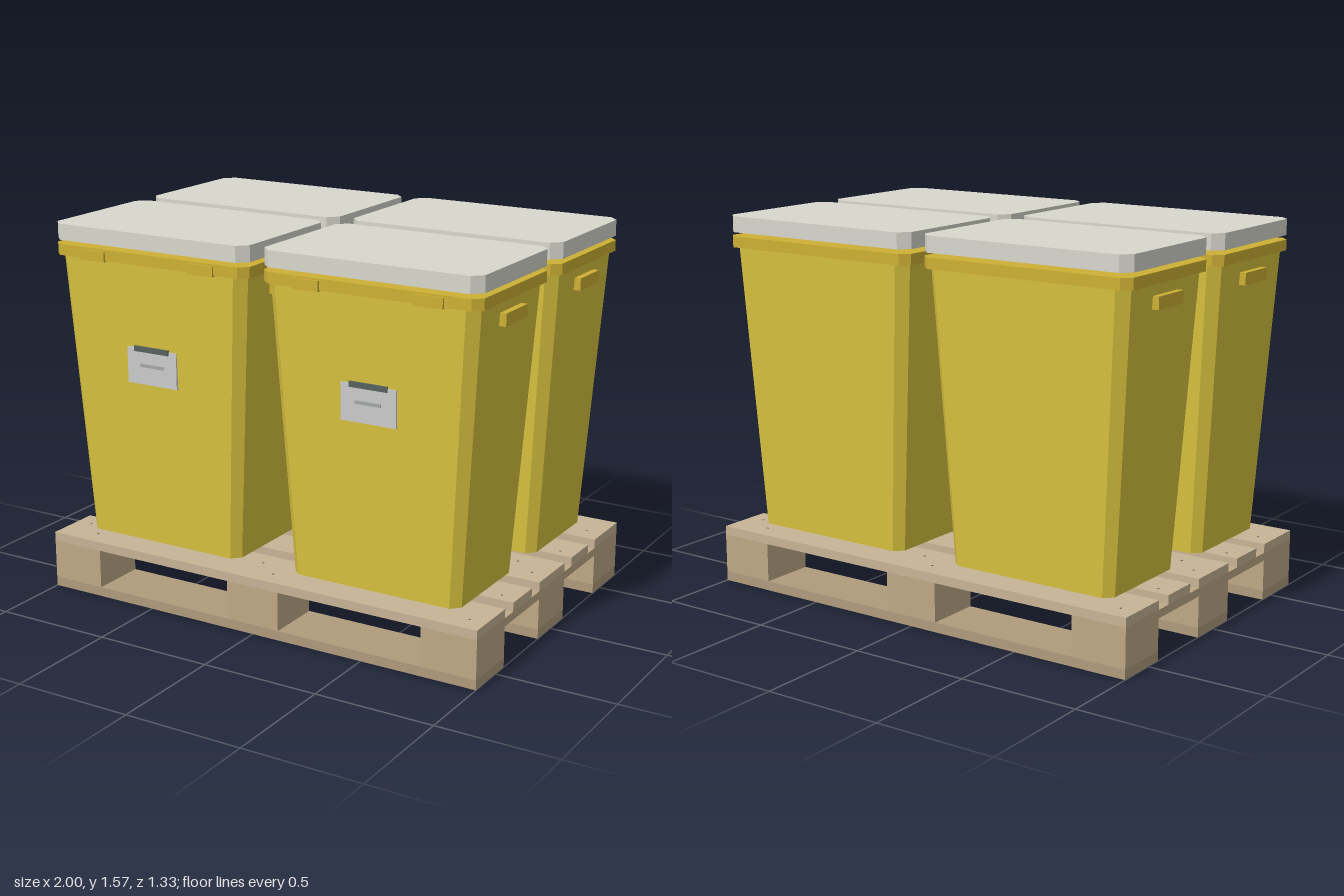
import * as THREE from 'three';
import { ConvexGeometry } from 'three/addons/geometries/ConvexGeometry.js';

const paint = (color) => new THREE.MeshStandardMaterial({ color });
const MAT = {
  body: paint(0xd8c23e),
  rim: paint(0xcdb034),
  lid: paint(0xd8d8ce),
  topWood: paint(0xc8b496),
  blockWood: paint(0xbfa986),
  skidWood: paint(0xb09b7c),
  nail: paint(0x77706a),
  label: paint(0xd0d3d2),
  labelDark: paint(0x566260),
  labelLine: paint(0xa2a8a6),
};

function add(parent, name, geometry, material, x = 0, y = 0, z = 0) {
  const mesh = new THREE.Mesh(geometry, material);
  mesh.name = name;
  mesh.position.set(x, y, z);
  parent.add(mesh);
  return mesh;
}

// Box given by its minimum and maximum on each axis
function box(parent, name, material, [x0, x1], [y0, y1], [z0, z1]) {
  const geometry = new THREE.BoxGeometry(x1 - x0, y1 - y0, z1 - z0);
  return add(parent, name, geometry, material, (x0 + x1) / 2, (y0 + y1) / 2, (z0 + z1) / 2);
}

// Corner points of a rectangle with cut corners: half sizes w and d, cut c
function cutRectangle(y, w, d, c) {
  const points = [];
  for (const sx of [-1, 1]) {
    for (const sz of [-1, 1]) {
      points.push(new THREE.Vector3(sx * w, y, sz * (d - c)));
      points.push(new THREE.Vector3(sx * (w - c), y, sz * d));
    }
  }
  return points;
}

// Flat-sided solid between two cut rectangles
const cutSolid = (bottom, top) =>
  new ConvexGeometry([...cutRectangle(...bottom), ...cutRectangle(...top)]);

function createPallet() {
  const pallet = new THREE.Group();
  pallet.name = 'pallet';
  const rows = [[-0.665, -0.428], [-0.12, 0.12], [0.428, 0.665]];
  const columns = [[-1, -0.763], [-0.12, 0.12], [0.763, 1]];

  // Skids, the blocks on them and the wide top boards
  for (const row of rows) {
    box(pallet, 'skid', MAT.skidWood, [-1, 1], [0, 0.04], row);
    for (const column of columns) box(pallet, 'block', MAT.blockWood, column, [0.04, 0.17], row);
    box(pallet, 'wideTopBoard', MAT.topWood, [-1, 1], [0.204, 0.242], row);
  }
  // Cross boards and narrow top boards
  for (const column of columns) {
    box(pallet, 'crossBoard', MAT.blockWood, column, [0.17, 0.204], [-0.665, 0.665]);
  }
  for (const row of [[-0.357, -0.19], [0.19, 0.357]]) {
    box(pallet, 'narrowTopBoard', MAT.topWood, [-1, 1], [0.204, 0.242], row);
  }
  // Nail heads where the top boards cross the blocks
  const nail = new THREE.CylinderGeometry(0.005, 0.005, 0.002, 8);
  for (const x of [-0.88, 0, 0.88]) {
    for (const z of [-0.547, -0.273, 0, 0.273, 0.547]) {
      for (const s of [-1, 1]) add(pallet, 'nail', nail, MAT.nail, x + s * 0.05, 0.2425, z + s * 0.04);
    }
  }
  return pallet;
}

function createBin() {
  const bin = new THREE.Group();
  bin.name = 'bin';
  add(bin, 'body', cutSolid([0.26, 0.372, 0.24, 0.035], [1.442, 0.448, 0.288, 0.042]), MAT.body);
  add(bin, 'rim', cutSolid([1.442, 0.467, 0.298, 0.035], [1.487, 0.467, 0.298, 0.035]), MAT.rim);
  add(bin, 'lid', cutSolid([1.505, 0.467, 0.3, 0.04], [1.571, 0.467, 0.3, 0.04]), MAT.lid);

  for (const s of [-1, 1]) {
    // Side handles and front latch tabs
    add(bin, 'handle', new THREE.BoxGeometry(0.04, 0.05, 0.18), MAT.rim, s * 0.451, 1.37, 0);
    add(bin, 'latchTab', new THREE.BoxGeometry(0.12, 0.042, 0.02), MAT.rim, s * 0.262, 1.458, 0.296);
  }

  // Front label with a dark header and a line
  box(bin, 'label', MAT.label, [-0.12, 0.12], [0.948, 1.098], [0.255, 0.278]);
  box(bin, 'labelHeader', MAT.labelDark, [-0.083, 0.083], [1.084, 1.106], [0.262, 0.283]);
  box(bin, 'labelLine', MAT.labelLine, [-0.056, 0.056], [1.021, 1.034], [0.268, 0.281]);
  return bin;
}

export function createModel() {
  const model = new THREE.Group();
  model.name = 'binsOnPallet';
  model.add(createPallet());
  // Four equal bins, all facing the front
  for (const x of [-0.502, 0.498]) {
    for (const z of [-0.334, 0.334]) {
      const bin = createBin();
      bin.position.set(x, 0, z);
      model.add(bin);
    }
  }
  return model;
}
